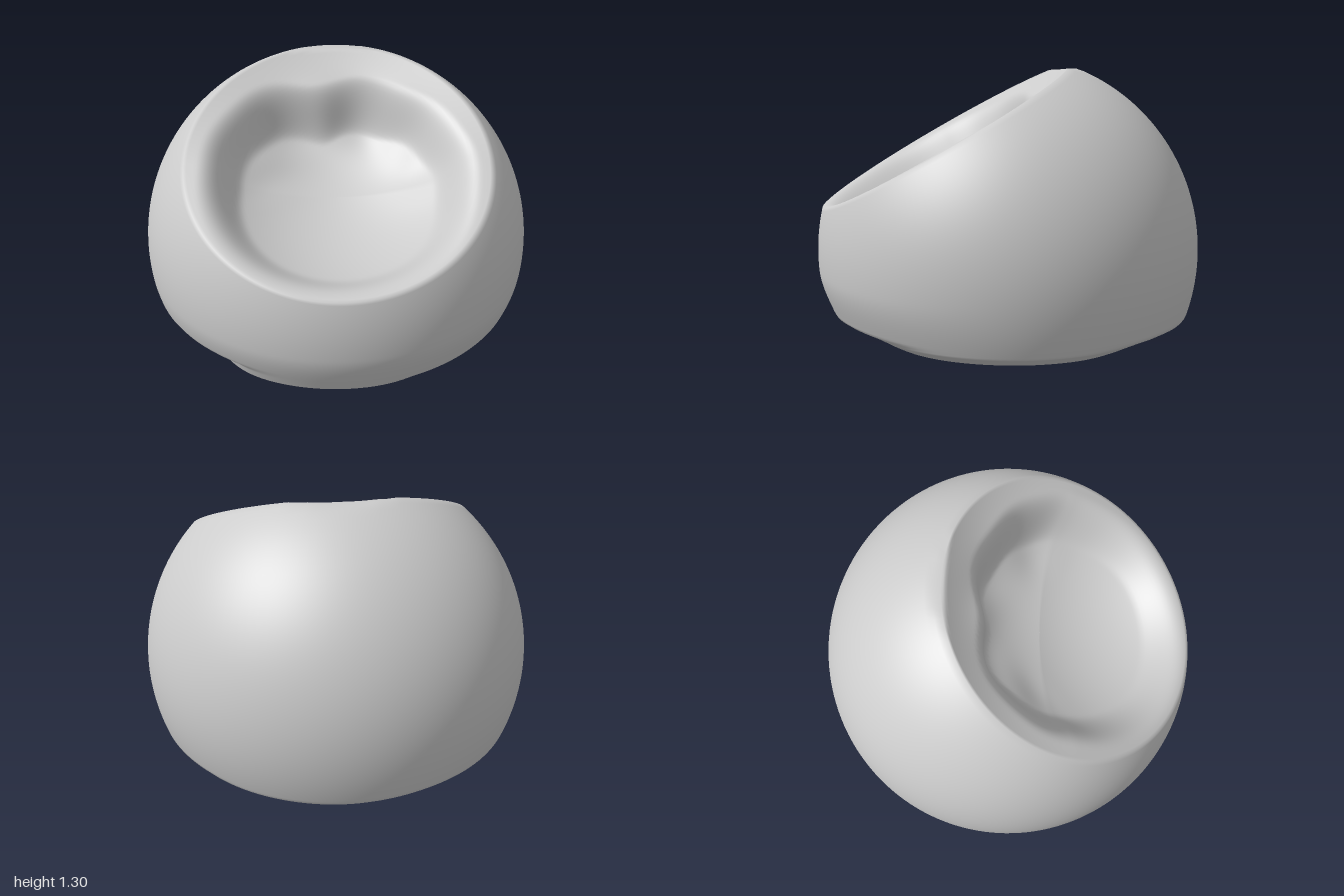
import * as THREE from 'three';

const SEG = 160, BASE_ROWS = 32, SHELL_ROWS = 48, SEAT_ROWS = 48;
const CENTRE = new THREE.Vector3(0, 0.37, 0);          // centre of the round bag
const CUT = 0.68, RIM = Math.sqrt(1 - CUT * CUT);      // slanted opening of the unit ball
const NORMAL = new THREE.Vector3(0, 0.873, 0.488);     // direction the seat faces
const FORWARD = new THREE.Vector3(0, -0.488, 0.873);   // down the slope of the opening
const TOP = 1.3;                                       // flattened crest of the back
const { smoothstep, lerp } = THREE.MathUtils;
const bump = (d, w) => Math.exp(-(d * d) / (w * w));
const angleGap = (a, b) => Math.atan2(Math.sin(a - b), Math.cos(a - b));

// tucks pressed into the lower edge: angle, width, height, depth
const TUCKS = [
  [2.42, 0.24, 0.15, 0.08], [0.95, 0.25, 0.09, 0.04], [-0.6, 0.2, 0.08, 0.03],
  [-1.9, 0.25, 0.08, 0.02], [-2.9, 0.2, 0.09, 0.03],
];
function settle(p, a) {
  // the lower front curls under; tucks fold in; the bag is slightly shallower than wide
  let push = 0.035 * smoothstep(Math.sin(a), 0, 1) * (1 - smoothstep(p.y, 0.02, 0.3));
  for (const [at, w, h, d] of TUCKS)
    push += d * bump(angleGap(a, at), w) * (1 - smoothstep(p.y, h * 0.8, h * 1.1));
  p.x *= 1 - push;
  p.z *= 0.985 * (1 - push);
  p.y = Math.min(p.y, TOP);
  return p;
}

// creased underside, t = 0 in the middle, 1 at the outer edge
const CREASES = [0.2, 1.15, 2.3, 3.3, 4.1, 4.85, 5.6];
function basePoint(a, t) {
  const r = 0.001 + 0.949 * t;
  let fold = 0;
  for (const c of CREASES) fold = Math.max(fold, 1 - Math.abs(angleGap(a, c)) / 0.45);
  const hollow = 0.02 * (1 - t) + 0.045 * fold * smoothstep(t, 0, 0.35);
  const edge = 0.07 * Math.pow(smoothstep(t, 0.82, 1.08) / smoothstep(1, 0.82, 1.08), 1.3);
  const y = hollow * (1 - smoothstep(t, 0.6, 0.95)) + edge;
  return settle(new THREE.Vector3(r * Math.cos(a), y, r * Math.sin(a)), a);
}

// opening of the bag, tilted back
function rimPoint(a, r, depth) {
  return CENTRE.clone().addScaledVector(NORMAL, CUT - depth)
    .addScaledVector(FORWARD, r * Math.sin(a))
    .add(new THREE.Vector3(r * Math.cos(a), 0, 0));
}

// round side, t = 0 at the base edge, 1 at the rim
function shellPoint(a, t) {
  const s = Math.pow(t, 1.3);
  const low = new THREE.Vector3(0.95 * Math.cos(a), -0.3, 0.95 * Math.sin(a)).normalize();
  const high = rimPoint(a, RIM, 0).sub(CENTRE).normalize();
  const gap = low.angleTo(high);
  const p = low.multiplyScalar(Math.sin((1 - s) * gap) / Math.sin(gap))
    .addScaledVector(high, Math.sin(s * gap) / Math.sin(gap)).add(CENTRE);
  return settle(p, a);
}

// hollow seat, t = 0 at the rim, 1 in the middle; the lip is widest at the back
function seatPoint(a, t) {
  const q = 1 - t, r = RIM * q + 0.001 * t;
  const back = Math.max(0, -Math.sin(a));
  const creased = smoothstep(-Math.sin(a), -0.4, 0.6);
  const fold = Math.sin(5 * a + 1) + 0.6 * Math.sin(8 * a);
  const lip = lerp(0.98, 0.88, smoothstep(-Math.sin(a), -1, 0)) - 0.17 * back * back
    + 0.025 * creased * fold;
  const wall = 1 - smoothstep(q, lip - 0.24, lip + 0.04);
  const cap = Math.sqrt(1 - r * r) - CUT;
  const ripple = 0.012 * creased * bump(q - 0.58, 0.16) * Math.sin(6 * a + 4 * q);
  return settle(rimPoint(a, r, cap * lerp(0.35 * back, 1.05 + 0.3 * back * q, wall) + ripple), a);
}

export function createModel() {
  // one continuous skin, swept from under the base up to the seat
  const rows = [];
  for (let i = 0; i <= BASE_ROWS; i++) rows.push([basePoint, i / BASE_ROWS]);
  for (let i = 1; i <= SHELL_ROWS; i++) rows.push([shellPoint, i / SHELL_ROWS]);
  for (let i = 1; i <= SEAT_ROWS; i++) rows.push([seatPoint, i / SEAT_ROWS]);

  const positions = [], index = [];
  rows.forEach(([point, t], j) => {
    for (let i = 0; i < SEG; i++) {
      positions.push(...point((i / SEG) * Math.PI * 2, t).toArray());
      if (j === rows.length - 1) continue;
      const a = j * SEG + i, b = j * SEG + ((i + 1) % SEG);
      index.push(a, a + SEG, b, b, a + SEG, b + SEG);
    }
  });
  const skin = new THREE.BufferGeometry();
  skin.setAttribute('position', new THREE.Float32BufferAttribute(positions, 3));
  skin.setIndex(index);
  skin.computeVertexNormals();

  // split into parts that share smooth normals along their seams
  const group = new THREE.Group();
  group.name = 'beanBagChair';
  const material = new THREE.MeshStandardMaterial({ color: 0xcccccc, side: THREE.DoubleSide });
  let start = 0;
  for (const [name, count] of [['base', BASE_ROWS], ['roundSide', SHELL_ROWS], ['seatHollow', SEAT_ROWS]]) {
    const end = start + count * SEG * 6;
    const part = skin.clone();
    part.setIndex(index.slice(start, end));
    const mesh = new THREE.Mesh(part.toNonIndexed(), material);
    mesh.name = name;
    group.add(mesh);
    start = end;
  }
  return group;
}
